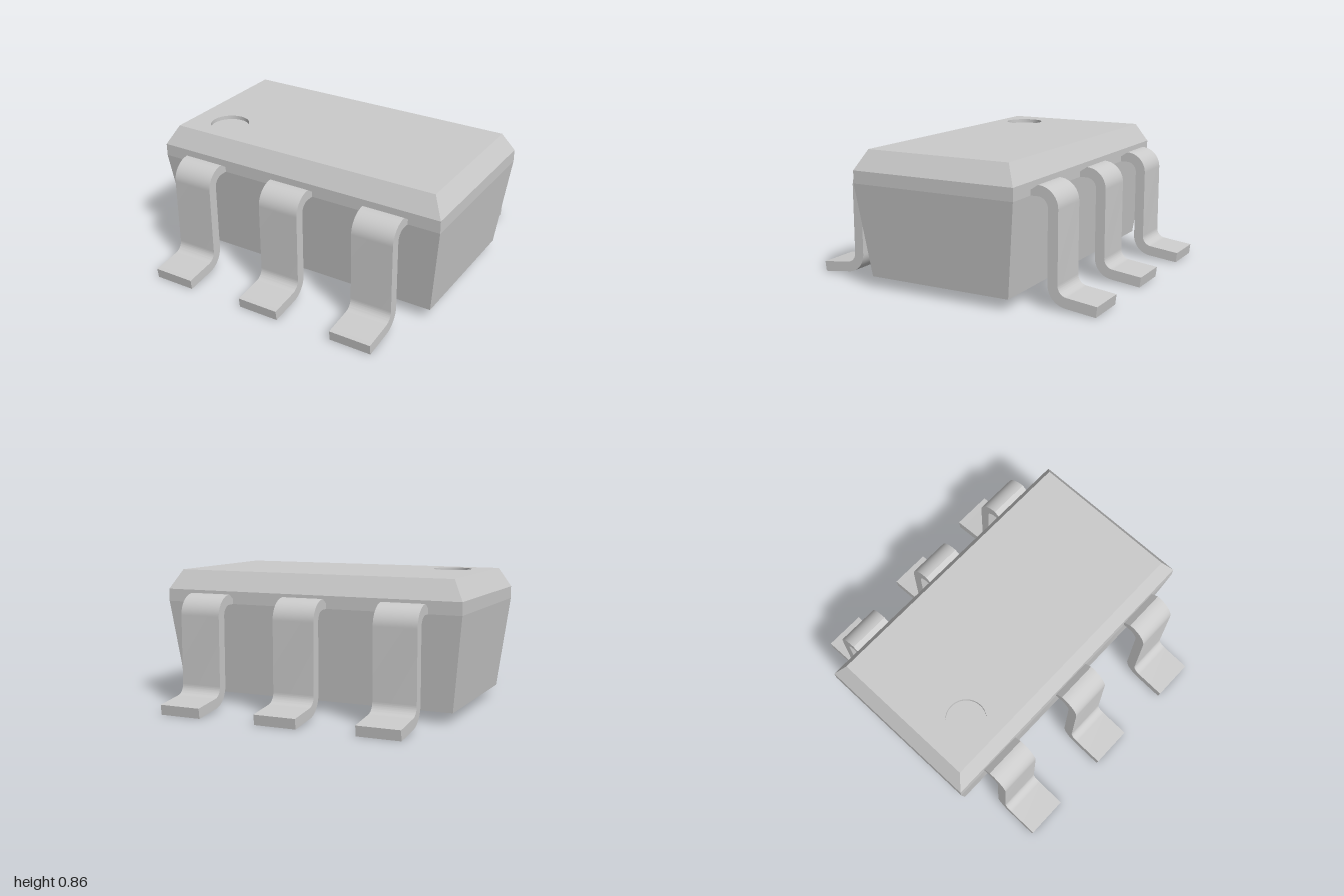
import * as THREE from 'three';
import { toCreasedNormals } from 'three/addons/utils/BufferGeometryUtils.js';

const material = new THREE.MeshStandardMaterial({ color: 0xcccccc });
const doubleSided = new THREE.MeshStandardMaterial({ color: 0xcccccc, side: THREE.DoubleSide });

const TOP = 0.865;
const DOT = { x: -0.67, z: 0.285, r: 0.125, depth: 0.025 };

function addMesh(parent, name, geometry, mat = material) {
  const mesh = new THREE.Mesh(geometry, mat);
  mesh.name = name;
  parent.add(mesh);
  return mesh;
}

// Side walls and underside, from rectangular sections [y, halfX, halfZ]
function wallGeometry(sections) {
  const rings = sections.map(([y, x, z]) => [[x, y, z], [x, y, -z], [-x, y, -z], [-x, y, z]]);
  const positions = [];
  const quad = (a, b, c, d) => positions.push(...a, ...b, ...c, ...a, ...c, ...d);
  for (let i = 0; i < rings.length - 1; i++) {
    for (let j = 0; j < 4; j++) {
      const k = (j + 1) % 4;
      quad(rings[i][j], rings[i][k], rings[i + 1][k], rings[i + 1][j]);
    }
  }
  quad(...[...rings[0]].reverse());
  const geometry = new THREE.BufferGeometry();
  geometry.setAttribute('position', new THREE.Float32BufferAttribute(positions, 3));
  geometry.computeVertexNormals();
  return geometry;
}

function createBody() {
  const body = new THREE.Group();
  body.name = 'body';
  addMesh(body, 'bodyWalls', wallGeometry([
    [0.07, 0.93, 0.48], [0.66, 1, 0.55], [0.74, 1, 0.55], [TOP, 0.93, 0.485],
  ]));

  // Top face, pierced by the round marker recess
  const top = new THREE.Shape();
  top.moveTo(-0.93, -0.485).lineTo(0.93, -0.485).lineTo(0.93, 0.485).lineTo(-0.93, 0.485).closePath();
  top.holes.push(new THREE.Path().absarc(DOT.x, -DOT.z, DOT.r, 0, Math.PI * 2, true));
  addMesh(body, 'topFace', new THREE.ShapeGeometry(top, 24).rotateX(-Math.PI / 2)).position.y = TOP;

  const wall = new THREE.CylinderGeometry(DOT.r, DOT.r, DOT.depth, 48, 1, true);
  addMesh(body, 'markerWall', wall, doubleSided).position.set(DOT.x, TOP - DOT.depth / 2, DOT.z);
  const floor = new THREE.CircleGeometry(DOT.r, 48).rotateX(-Math.PI / 2);
  addMesh(body, 'markerFloor', floor).position.set(DOT.x, TOP - DOT.depth, DOT.z);
  return body;
}

// Gull-wing lead: side profile (z, y) extruded across its width
function leadGeometry() {
  const width = 0.275, inner = 0.065, outer = 0.13;
  const up = { z: 0.595, y: 0.595 }, low = { z: 0.79, y: 0.153 };
  const end = THREE.MathUtils.degToRad(263), footLength = 0.193;
  const footTip = (r) => [
    low.z + r * Math.cos(end) - footLength * Math.sin(end),
    low.y + r * Math.sin(end) + footLength * Math.cos(end),
  ];
  const profile = new THREE.Shape();
  profile.moveTo(0.5, up.y + outer);
  profile.absarc(up.z, up.y, outer, Math.PI / 2, 0, true);
  profile.absarc(low.z, low.y, inner, Math.PI, end, false);
  profile.lineTo(...footTip(inner));
  profile.lineTo(...footTip(outer));
  profile.absarc(low.z, low.y, outer, end, Math.PI, true);
  profile.absarc(up.z, up.y, inner, 0, Math.PI / 2, false);
  profile.lineTo(0.5, up.y + inner);
  profile.closePath();
  const geometry = new THREE.ExtrudeGeometry(profile, { depth: width, bevelEnabled: false, curveSegments: 10 });
  geometry.translate(0, 0, -width / 2).rotateY(-Math.PI / 2);
  return toCreasedNormals(geometry, 0.5);
}

export function createModel() {
  const model = new THREE.Group();
  model.name = 'chipPackage';
  model.add(createBody());

  // Three leads along the front, the same row turned round for the back
  const geometry = leadGeometry();
  for (const [name, turn] of [['frontLeads', 0], ['backLeads', Math.PI]]) {
    const row = new THREE.Group();
    row.name = name;
    row.rotation.y = turn;
    for (const x of [-0.655, 0, 0.655]) addMesh(row, 'lead', geometry).position.x = x;
    model.add(row);
  }
  return model;
}
